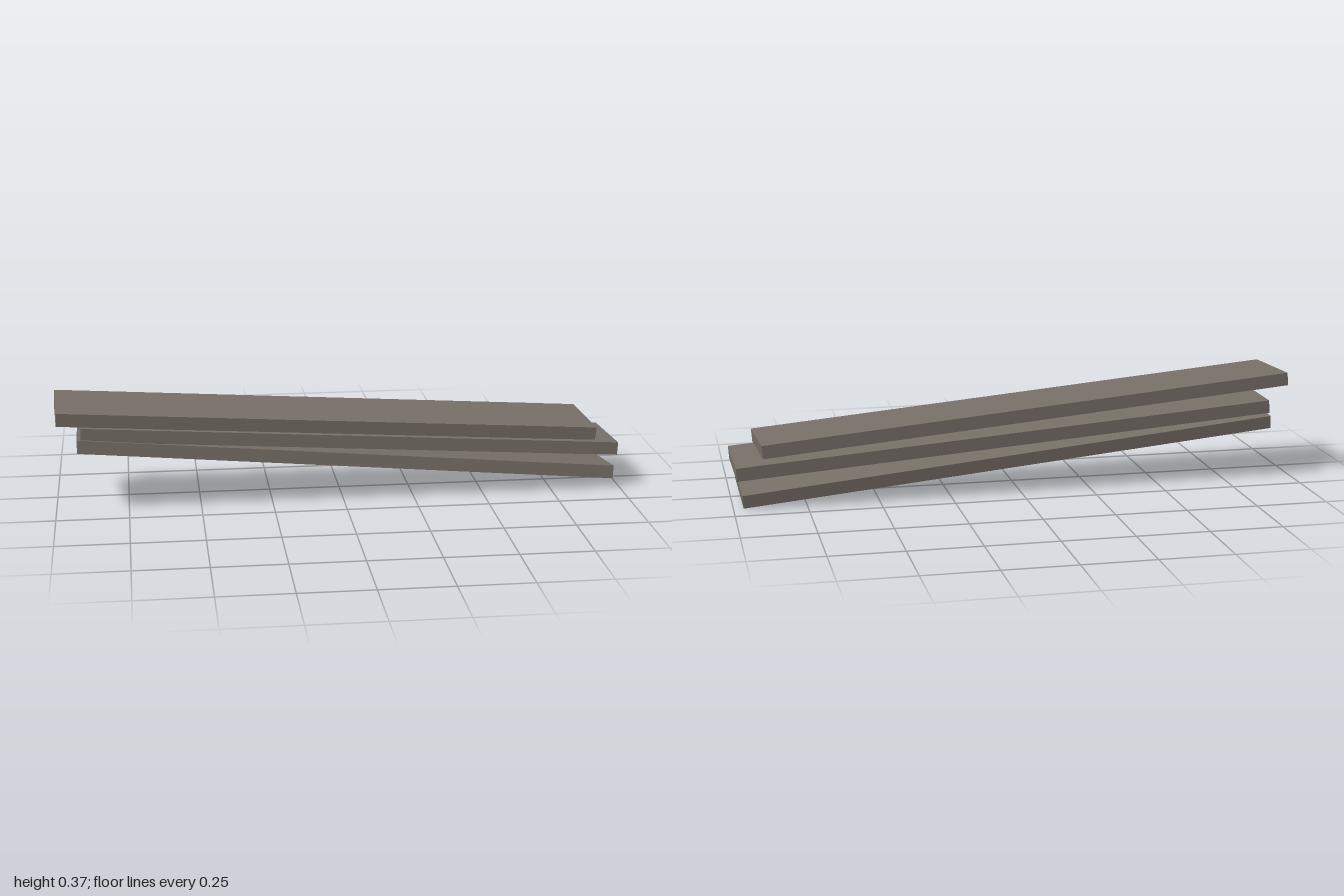
import * as THREE from 'three';

const WIDTH = 0.285;
const THICKNESS = 0.046;

// Plank whose top face runs between two end midpoints; side points from its back edge to its front edge
function plank(name, left, right, side, material) {
  const a = new THREE.Vector3(...left);
  const b = new THREE.Vector3(...right);
  const along = b.clone().sub(a);
  const length = along.length();
  along.normalize();
  const up = new THREE.Vector3(...side).cross(along).normalize();
  const across = along.clone().cross(up);

  const mesh = new THREE.Mesh(new THREE.BoxGeometry(length, THICKNESS, WIDTH), material);
  mesh.name = name;
  mesh.quaternion.setFromRotationMatrix(new THREE.Matrix4().makeBasis(along, up, across));
  mesh.position.copy(a).add(b).multiplyScalar(0.5).addScaledVector(up, -THICKNESS / 2);
  return mesh;
}

export function createModel() {
  const group = new THREE.Group();
  group.name = 'plankStack';
  const wood = new THREE.MeshStandardMaterial({ color: 0x766f67 });
  wood.name = 'weathered wood';

  // Three loosely stacked planks, each tilted and turned a little differently
  group.add(
    plank('topPlank', [-0.992, 0.367, 0.051], [0.908, 0.2215, -0.05], [0.015, -0.0065, 0.284], wood),
    plank('middlePlank', [-0.91, 0.288, 0.001], [0.993, 0.155, -0.049], [0.0075, 0.01, 0.284], wood),
    plank('bottomPlank', [-0.922, 0.2385, 0.0135], [0.974, 0.0635, -0.0265], [0.009, 0.033, 0.283], wood),
  );
  return group;
}
